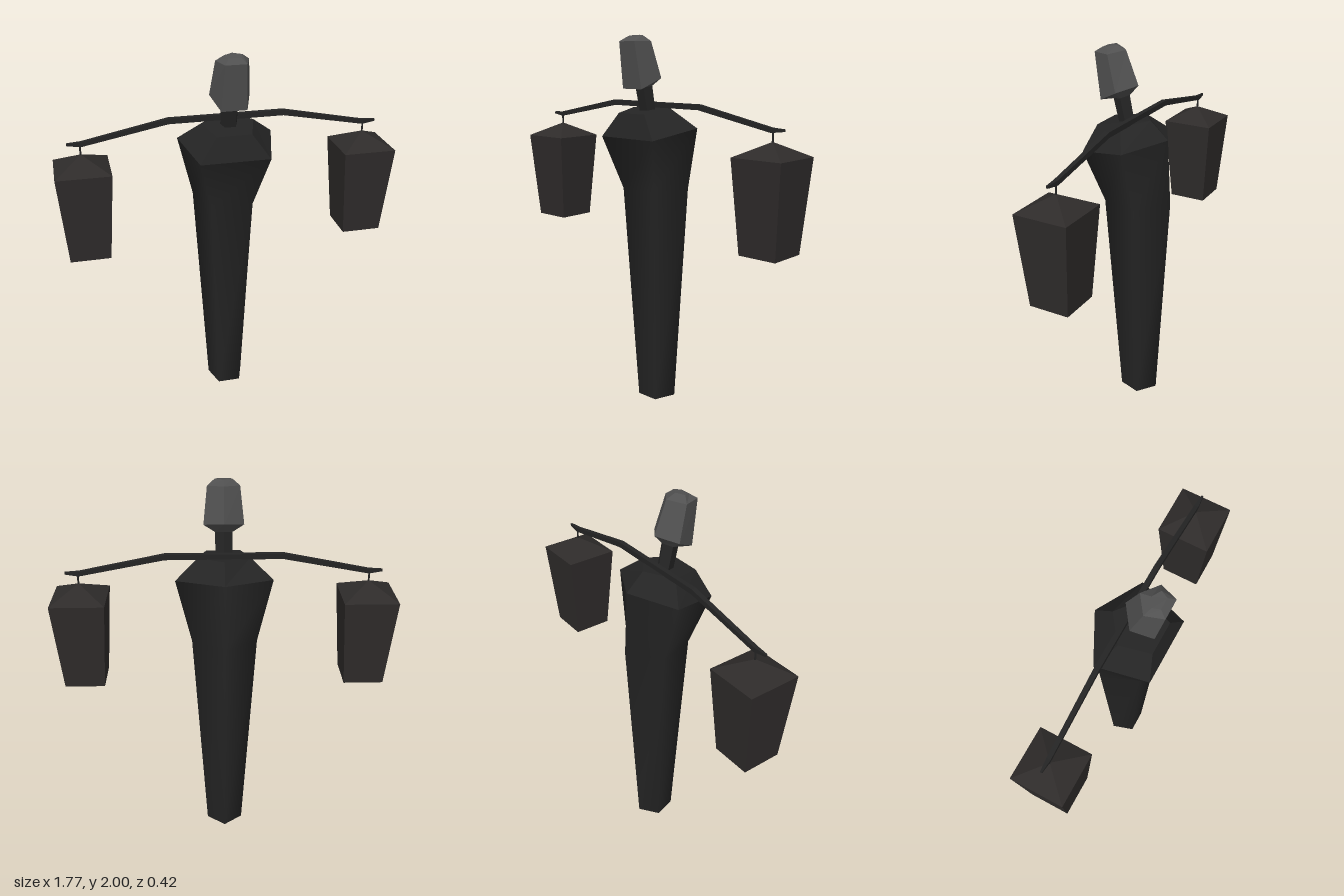
import * as THREE from 'three';

// Skin a list of rings (same point count, counter-clockwise about the direction of travel)
function loft(rings, capStart = true, capEnd = true) {
  const n = rings[0].length, index = [];
  for (let r = 0; r < rings.length - 1; r++) {
    for (let i = 0; i < n; i++) {
      const a = r * n + i, b = r * n + (i + 1) % n;
      index.push(a, b, b + n, a, b + n, a + n);
    }
  }
  const last = (rings.length - 1) * n;
  for (let i = 1; i < n - 1; i++) {
    if (capStart) index.push(0, i + 1, i);
    if (capEnd) index.push(last, last + i, last + i + 1);
  }
  const geometry = new THREE.BufferGeometry();
  geometry.setAttribute('position', new THREE.Float32BufferAttribute(rings.flat(2), 3));
  geometry.setIndex(index);
  geometry.computeVertexNormals();
  return geometry;
}

// Five-sided section: a front pair, a side pair and one back corner
const pentagon = ([fx, fy, fz], [sx, sy, sz], [by, bz]) => [
  [fx, fy, fz], [sx, sy, sz], [0, by, bz], [-sx, sy, sz], [-fx, fy, fz],
];

const flat = (color) => new THREE.MeshStandardMaterial({ color, flatShading: true });

export function createModel() {
  const model = new THREE.Group();
  const add = (name, geometry, material, parent = model) => {
    const mesh = new THREE.Mesh(geometry, material);
    mesh.name = name;
    parent.add(mesh);
    return mesh;
  };
  const dark = flat(0x242424);
  const robeMaterial = new THREE.MeshStandardMaterial({ color: 0x242424 });
  const headMaterial = flat(0x505050);
  const lanternMaterial = flat(0x2e2b2a);

  // Robe: smooth tapering body, with a flat sole and faceted shoulders
  const hem = pentagon([0.062, 0, 0.055], [0.1, 0, -0.065], [0, -0.14]);
  const waist = pentagon([0.11, 1.2, 0.12], [0.17, 1.2, -0.085], [1.2, -0.21]);
  const shoulder = pentagon([0.18, 1.48, 0.207], [0.25, 1.53, -0.06], [1.55, -0.19]);
  const collar = pentagon([0.09, 1.605, 0.17], [0.135, 1.625, 0.01], [1.64, -0.09]);
  add('robe', loft([hem, waist, shoulder], false, false), robeMaterial);
  const sole = new THREE.BufferGeometry();
  sole.setAttribute('position', new THREE.Float32BufferAttribute(hem.flat(), 3));
  sole.setIndex([0, 2, 1, 0, 3, 2, 0, 4, 3]);
  sole.computeVertexNormals();
  add('robeBase', sole, dark);
  add('shoulders', loft([shoulder, collar], false, true), dark);

  // Neck leaning forward
  const neckTop = pentagon([0.028, 1.735, 0.108], [0.045, 1.745, 0.06], [1.755, 0.03]);
  add('neck', loft([
    pentagon([0.026, 1.58, 0.07], [0.042, 1.58, 0.025], [1.58, -0.005]),
    neckTop,
  ]), dark);

  // Head tilted with the neck
  add('head', loft([
    neckTop,
    pentagon([0.065, 1.73, 0.163], [0.103, 1.785, 0.055], [1.81, -0.02]),
    pentagon([0.053, 1.967, 0.2], [0.083, 1.968, 0.11], [1.98, 0.05]),
    pentagon([0.03, 1.99, 0.167], [0.045, 1.997, 0.13], [2, 0.105]),
  ]), headMaterial);

  // Carrying pole, drooping and narrowing toward both ends
  const half = [[0.3, 1.643, 0.014, 0.013], [0.74, 1.557, 0.012, 0.011], [0.81, 1.56, 0.006, 0.005]];
  const stations = [...half.map(([x, ...rest]) => [-x, ...rest]).reverse(), ...half];
  add('carryingPole', loft(stations.map(([x, y, h, w]) =>
    [[h, w], [-h, w], [-h, -w], [h, -w]].map(([dy, dz]) => [x, y + dy, dz - 0.013]))), dark);

  // Lanterns hung from each end
  for (const side of [-1, 1]) {
    const lantern = new THREE.Group();
    lantern.name = side > 0 ? 'leftLantern' : 'rightLantern';
    lantern.position.set(side * 0.745, 0, -0.013);
    const square = (s, y) => [[s, y, s], [s, y, -s], [-s, y, -s], [-s, y, s]];
    add('lanternBody', loft([square(0.105, 0.953), square(0.14, 1.43)], true, false), lanternMaterial, lantern);
    add('lanternRoof', loft([square(0.14, 1.43), square(0.001, 1.503)], false, true), lanternMaterial, lantern);
    add('cord', new THREE.CylinderGeometry(0.005, 0.005, 0.06, 5), dark, lantern).position.y = 1.525;
    model.add(lantern);
  }
  return model;
}
